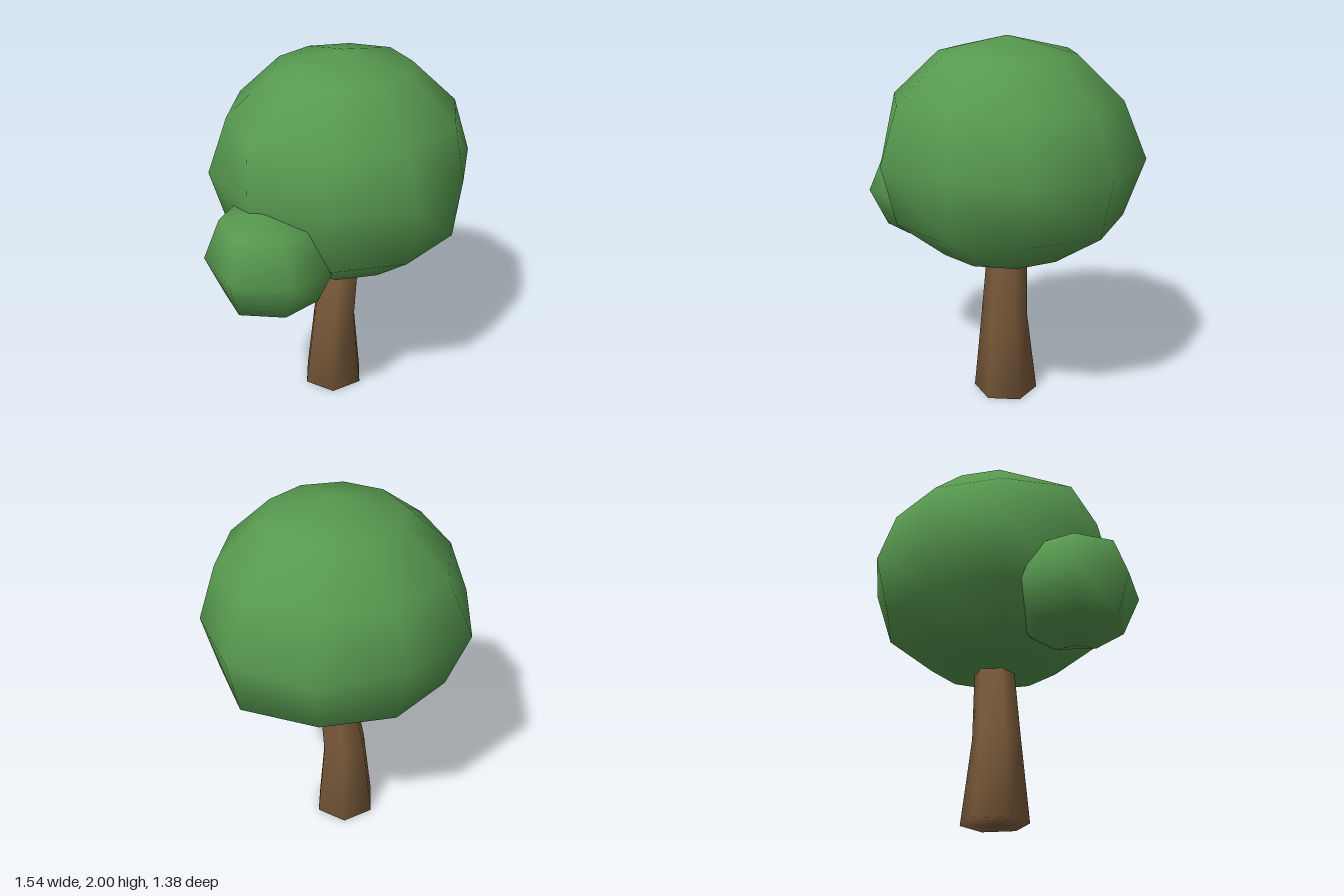
import * as THREE from 'three';
import { mergeVertices } from 'three/addons/utils/BufferGeometryUtils.js';

// Weld all corners so the shading runs smoothly over the whole part
function smooth(geometry) {
  geometry.deleteAttribute('uv');
  geometry.deleteAttribute('normal');
  const welded = mergeVertices(geometry, 1e-3);
  welded.computeVertexNormals();
  return welded;
}

// Move every vertex of a geometry by a rule
function reshape(geometry, rule) {
  const p = geometry.attributes.position;
  const v = new THREE.Vector3();
  for (let i = 0; i < p.count; i++) {
    rule(v.fromBufferAttribute(p, i));
    p.setXYZ(i, v.x, v.y, v.z);
  }
  return geometry;
}

// Low-poly ball from a [radius, y] profile, with a few corners pushed about:
// each nudge is [x, y, z, dx, dy, dz]
function unevenBall(profile, sides, start, x, z, nudges) {
  const points = profile.map(([r, y]) => new THREE.Vector2(r, y));
  const g = new THREE.LatheGeometry(points, sides, start).translate(x, 0, z);
  return smooth(reshape(g, (v) => {
    const n = nudges.find((c) => Math.hypot(v.x - c[0], v.y - c[1], v.z - c[2]) < 0.06);
    if (n) v.set(v.x + n[3], v.y + n[4], v.z + n[5]);
  }));
}

// Six-sided trunk with a bend: one centre and radius per ring
function trunkGeometry() {
  const rings = [
    { y: 0, x: 0.025, z: -0.018, rx: 0.18, rz: 0.176 },
    { y: 0.45, x: 0.025, z: -0.01, rx: 0.13, rz: 0.127 },
    { y: 0.95, x: 0.082, z: -0.003, rx: 0.098, rz: 0.105 },
  ];
  const g = new THREE.CylinderGeometry(1, 1, 2, 6, 2, false, Math.PI / 2);
  return smooth(reshape(g, (v) => {
    const r = rings[Math.round(v.y + 1)];
    v.set(r.x + v.x * r.rx, r.y, r.z + v.z * r.rz);
  }));
}

// Main crown: ten-sided ball
function crownGeometry() {
  const profile = [[0, 0.8], [0.36, 0.885], [0.615, 1.09], [0.69, 1.4],
    [0.595, 1.69], [0.355, 1.915], [0, 2]];
  return unevenBall(profile, 10, 0, 0.07, 0, [
    [0.726, 1.4, -0.213, 0.042, 0, 0],
    [0.476, 1.4, -0.558, 0.034, 0, -0.012],
    [0.476, 1.4, 0.558, -0.006, 0, -0.05],
    [-0.336, 1.4, 0.558, -0.01, 0, -0.05],
    [-0.336, 1.4, -0.558, -0.034, 0, -0.025],
    [-0.586, 1.4, -0.213, -0.012, 0, 0],
    [-0.586, 1.4, 0.213, 0.006, 0, -0.02],
    [-0.496, 1.69, 0.184, -0.06, 0, 0],
    [0.655, 1.09, -0.19, 0.052, 0, 0],
    [0.408, 1.915, -0.11, 0.012, 0.005, 0],
  ]);
}

// Small side clump: seven-sided ball
function clumpGeometry() {
  const profile = [[0, 0.81], [0.245, 0.89], [0.334, 1.1], [0.25, 1.31], [0, 1.37]];
  return unevenBall(profile, 7, Math.PI / 2, -0.469, 0.225, [
    [-0.469, 1.37, 0.225, -0.04, 0, 0.01],
    [-0.543, 1.1, 0.551, 0.01, 0, 0.012],
    [-0.69, 0.89, 0.331, -0.02, 0, 0],
    [-0.694, 1.31, 0.333, -0.01, 0, 0],
  ]);
}

export function createModel() {
  const bark = new THREE.MeshStandardMaterial({ color: 0x7a5a3a });
  bark.name = 'brown bark';
  const leaves = new THREE.MeshStandardMaterial({ color: 0x57994f });
  leaves.name = 'green leaves';

  const tree = new THREE.Group();
  tree.name = 'tree';
  const add = (name, geometry, material) => {
    const mesh = new THREE.Mesh(geometry, material);
    mesh.name = name;
    tree.add(mesh);
  };
  add('trunk', trunkGeometry(), bark);
  add('crown', crownGeometry(), leaves);
  add('sideClump', clumpGeometry(), leaves);
  return tree;
}
